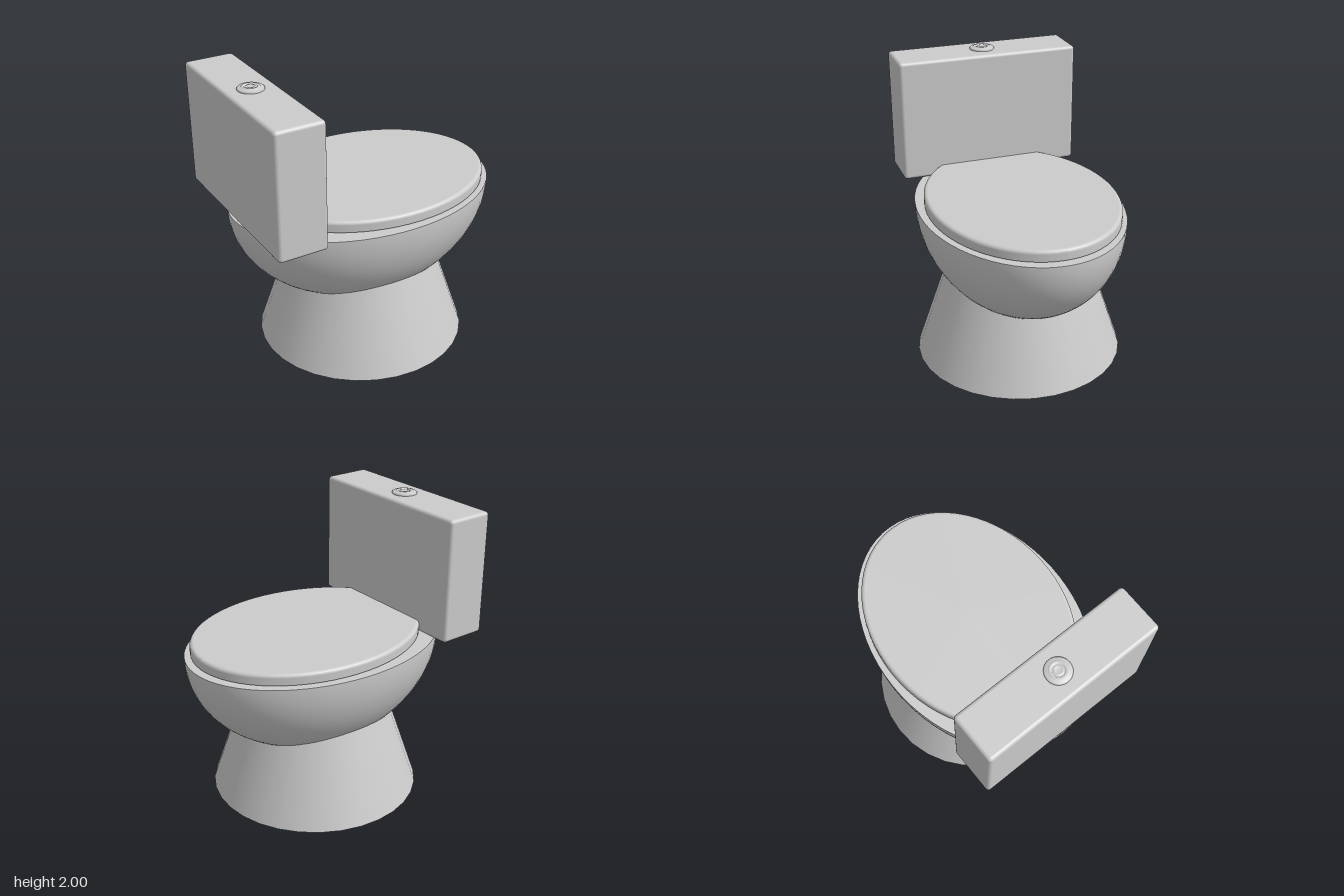
import * as THREE from 'three';
import { RoundedBoxGeometry } from 'three/addons/geometries/RoundedBoxGeometry.js';

const material = new THREE.MeshStandardMaterial({ color: 0xcccccc });

function add(group, name, geometry, x = 0, y = 0, z = 0) {
  const mesh = new THREE.Mesh(geometry, material);
  mesh.name = name;
  mesh.position.set(x, y, z);
  group.add(mesh);
  return mesh;
}

// Revolves [radius, height] points, listed from the bottom up
const lathe = (points, sides) =>
  new THREE.LatheGeometry(points.map(([r, y]) => new THREE.Vector2(r, y)), sides);

export function createModel() {
  const model = new THREE.Group();

  // Flared foot, its top hidden inside the bowl
  add(model, 'pedestal', new THREE.CylinderGeometry(0.505, 0.727, 0.66, 32), 0, 0.33, 0);

  // Bowl: lower half of an ellipsoid with a flat rim surface
  const bowl = new THREE.Group();
  bowl.name = 'bowl';
  bowl.position.y = 1.11;
  model.add(bowl);
  const shell = new THREE.SphereGeometry(1, 64, 24, 0, Math.PI * 2, Math.PI / 2, Math.PI / 2);
  add(bowl, 'bowlShell', shell.scale(0.945, 0.74, 0.69));
  const rim = new THREE.CircleGeometry(1, 64).rotateX(-Math.PI / 2);
  add(bowl, 'bowlRim', rim.scale(0.945, 1, 0.69));

  // Oval lid with a rounded upper edge, running back into the tank
  const a = 0.838, b = 0.645, height = 0.075, bevel = 0.025;
  const outline = new THREE.Shape();
  outline.absellipse(0, 0, a - bevel, b - bevel, 0, Math.PI * 2);
  const lid = new THREE.Group();
  lid.name = 'lid';
  lid.position.set(0.062, 1.124, 0);
  model.add(lid);
  const ring = (inset, y) => Array.from({ length: 65 }, (_, i) => {
    const t = (i / 64) * Math.PI * 2;
    return [(a - inset) * Math.cos(t), y, -(b - inset) * Math.sin(t)];
  });
  // Edge cross-section: straight wall, then a quarter round
  const rings = [ring(0, 0)];
  for (let i = 0; i <= 6; i++) {
    const t = (i / 6) * Math.PI / 2;
    rings.push(ring(bevel * (1 - Math.cos(t)), height - bevel * (1 - Math.sin(t))));
  }
  const index = [];
  for (let r = 0; r < rings.length - 1; r++) {
    for (let i = 0; i < 64; i++) {
      const p = r * 65 + i, q = p + 65;
      index.push(p, p + 1, q + 1, p, q + 1, q);
    }
  }
  const edge = new THREE.BufferGeometry();
  edge.setAttribute('position', new THREE.Float32BufferAttribute(rings.flat(2), 3));
  edge.setIndex(index);
  edge.computeVertexNormals();
  add(lid, 'lidEdge', edge);
  const disc = (rx, rz, turn) =>
    new THREE.CircleGeometry(1, 64).rotateX(turn).scale(rx, 1, rz);
  add(lid, 'lidTop', disc(a - bevel, b - bevel, -Math.PI / 2), 0, height, 0);
  add(lid, 'lidUnderside', disc(a, b, Math.PI / 2));

  // Water tank
  add(model, 'tank', new RoundedBoxGeometry(0.34, 0.86, 1.29, 4, 0.025), -0.775, 1.55, 0);

  // Flush button with concentric ridges
  add(model, 'flushButton', lathe([
    [0.085, -0.01], [0.087, 0.006], [0.08, 0.013], [0.062, 0.014],
    [0.06, 0.018], [0.054, 0.02], [0.044, 0.02], [0.04, 0.013],
    [0.034, 0.013], [0.03, 0.018], [0.022, 0.018], [0.019, 0.014], [0, 0.014],
  ], 32), -0.775, 1.98, 0);

  return model;
}
